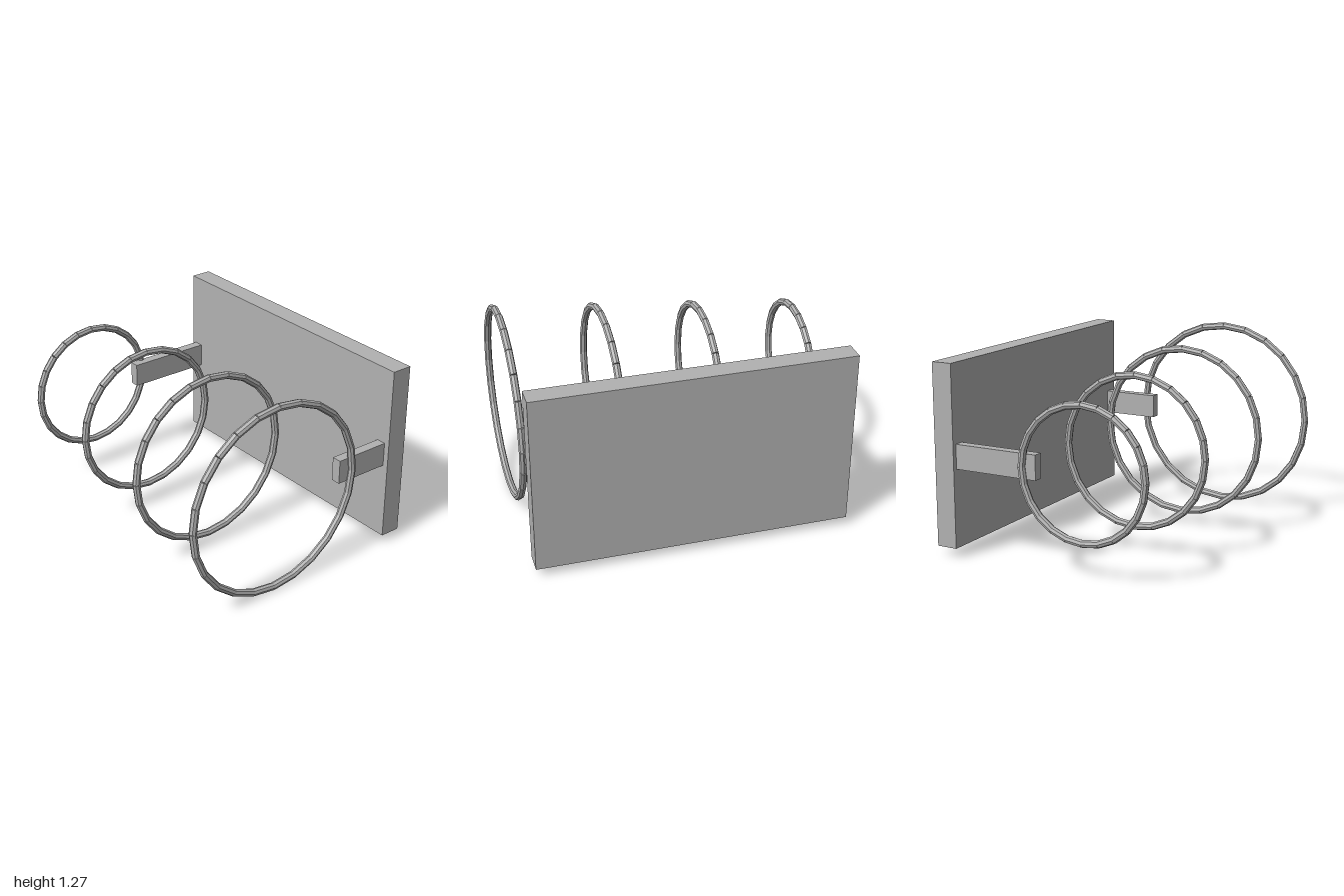
import * as THREE from 'three';

export function createModel() {
  const model = new THREE.Group();
  const grey = new THREE.MeshStandardMaterial({ color: 0xb2b2b2, flatShading: true });
  grey.name = 'grey';

  const CX = -0.198, CY = 0.638;   // axis shared by all rings
  const TUBE = 0.024, SEGMENTS = 24;

  // Box given by its limits on each axis
  function addBox(name, x0, x1, y0, y1, z0, z1) {
    const mesh = new THREE.Mesh(new THREE.BoxGeometry(x1 - x0, y1 - y0, z1 - z0), grey);
    mesh.position.set((x0 + x1) / 2, (y0 + y1) / 2, (z0 + z1) / 2);
    mesh.name = name;
    model.add(mesh);
  }

  // Ring of straight rods, joined end to end
  function addRing(name, radius, z) {
    const ring = new THREE.Group();
    ring.name = name;
    const step = (Math.PI * 2) / SEGMENTS;
    const rod = new THREE.CylinderGeometry(TUBE, TUBE, 2 * radius * Math.sin(step / 2), 8);
    const mid = radius * Math.cos(step / 2);
    for (let i = 0; i < SEGMENTS; i++) {
      const a = (i + 0.5) * step;
      const mesh = new THREE.Mesh(rod, grey);
      mesh.name = 'ringRod';
      mesh.position.set(Math.cos(a) * mid, Math.sin(a) * mid, 0);
      mesh.rotation.z = a;
      ring.add(mesh);
    }
    ring.position.set(CX, CY, z);
    model.add(ring);
  }

  // Upright mounting plate and its two arms
  addBox('backPlate', 0.694, 0.83, 0.06, 1.221, -1, 1);
  addBox('frontArm', 0.318, 0.694, 0.561, 0.718, 0.9, 0.963);
  addBox('rearArm', 0.125, 0.694, 0.561, 0.718, -0.97, -0.906);

  // Rings shrink towards the back
  [0.971, 0.325, -0.331, -0.976].forEach((z, i) => {
    addRing('ring' + (i + 1), 0.612 - i * 0.0655, z);
  });

  return model;
}
